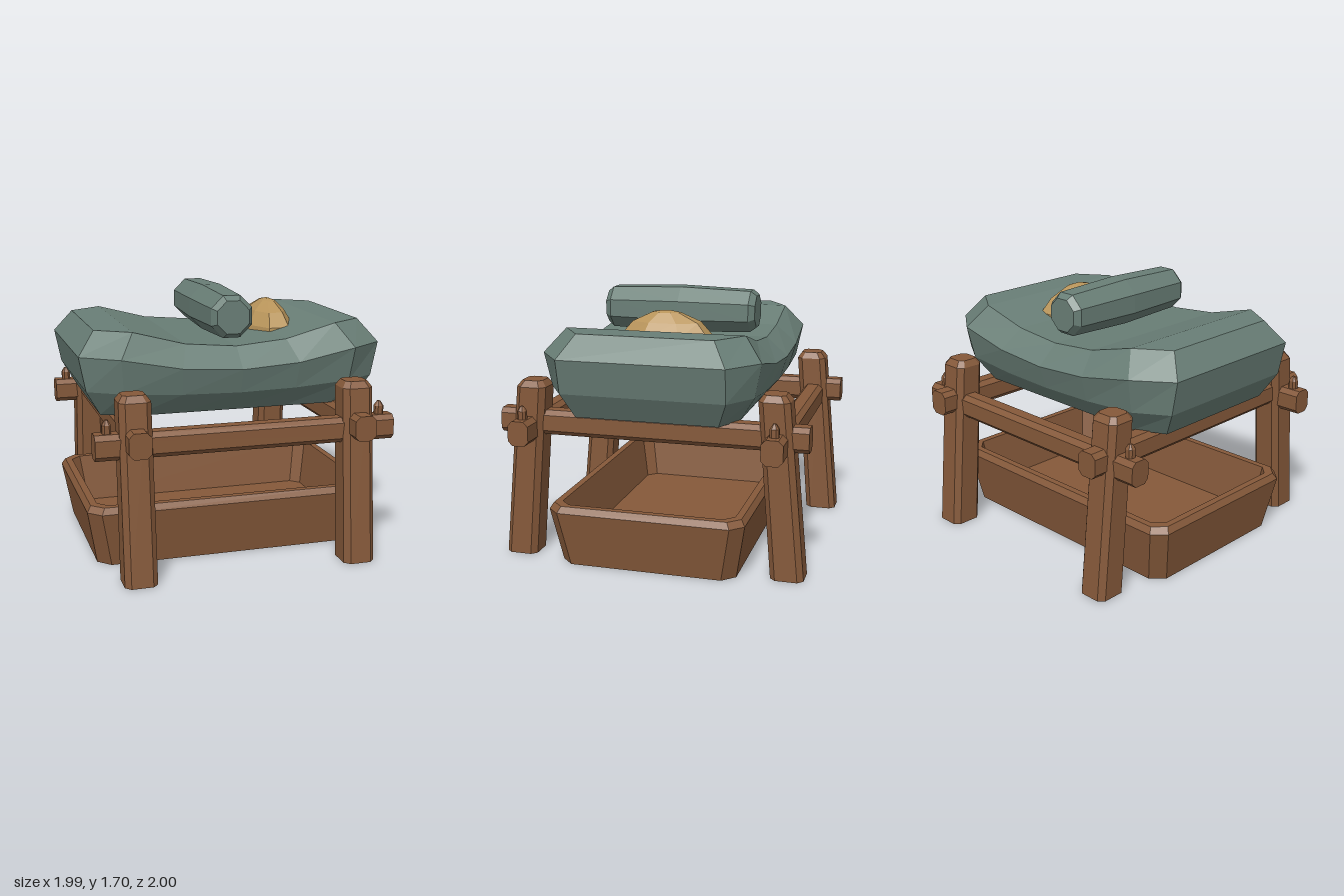
import * as THREE from 'three';

const material = (name, color) => {
  const m = new THREE.MeshStandardMaterial({ color, flatShading: true });
  m.name = name;
  return m;
};

// Rectangle with cut corners at height y, counter-clockwise from above
function ring(y, hx, hz, cx, cz = cx, dx = 0, dz = 0) {
  const ix = hx - cx, iz = hz - cz;
  return [[hx, iz], [hx, -iz], [ix, -hz], [-ix, -hz], [-hx, -iz], [-hx, iz], [-ix, hz], [ix, hz]]
    .map(([x, z]) => [x + dx, y, z + dz]);
}

// Skin a stack of rings and close both ends with strips across z
function loft(rings) {
  const pos = [];
  const quad = (a, b, c, d) => pos.push(...a, ...b, ...c, ...a, ...c, ...d);
  const n = rings[0].length;
  for (let r = 0; r < rings.length - 1; r++) {
    const lo = rings[r], hi = rings[r + 1];
    for (let i = 0; i < n; i++) {
      const j = (i + 1) % n;
      quad(lo[i], lo[j], hi[j], hi[i]);
    }
  }
  const bottom = rings[0], top = rings[rings.length - 1];
  for (let k = 0; k < n / 2 - 1; k++) {
    const a0 = (n - k) % n, b0 = k + 1, a1 = n - k - 1, b1 = k + 2;
    quad(top[a0], top[b0], top[b1], top[a1]);
    quad(bottom[a1], bottom[b1], bottom[b0], bottom[a0]);
  }
  const g = new THREE.BufferGeometry();
  g.setAttribute('position', new THREE.Float32BufferAttribute(pos, 3));
  g.computeVertexNormals();
  return g;
}

// Outline of the grinding slab: long sides sag and bow towards the middle
function slabRing(y, hx, hz, ix, iz, sag, bow) {
  const side = [1, 0.5, 0, -0.5, -1].map((t) => {
    const k = 1 - t * t;
    return [t * ix, y - sag * k, hz + bow * k];
  });
  const back = side.map(([x, h, z]) => [x, h, -z]);
  const front = [...side].reverse();
  return [[hx, y, iz], [hx, y, -iz], ...back, [-hx, y, -iz], [-hx, y, iz], ...front];
}

export function createModel() {
  const model = new THREE.Group();
  const wood = material('wood', 0x85593a);
  const stone = material('stone', 0x697e76);
  const grainColor = material('grain', 0xb8945a);

  const add = (name, geometry, mat, x = 0, y = 0, z = 0) => {
    const mesh = new THREE.Mesh(geometry, mat);
    mesh.name = name;
    mesh.position.set(x, y, z);
    model.add(mesh);
    return mesh;
  };

  // Hollowed grinding slab
  add('grindingSlab', loft([
    slabRing(0.965, 0.855, 0.55, 0.66, 0.46, 0, 0),
    slabRing(1.13, 0.95, 0.655, 0.74, 0.525, 0.03, 0.015),
    slabRing(1.35, 0.993, 0.7, 0.76, 0.53, 0.095, 0.02),
    slabRing(1.497, 0.88, 0.58, 0.665, 0.435, 0.117, 0),
  ]), stone);

  // Hand roller, thickest in the middle
  const rollerRing = ([t, a]) => ring(t, a, a, a * 0.586);
  const roller = add('handRoller', loft(
    [[-0.515, 0.105], [-0.475, 0.135], [0, 0.15], [0.475, 0.135], [0.515, 0.105]].map(rollerRing),
  ), stone, 0, 1.55, 0);
  roller.rotation.x = Math.PI / 2;

  // Heap of grain
  add('grainHeap', loft([
    ring(1.37, 0.155, 0.295, 0.085, 0.17),
    ring(1.43, 0.153, 0.29, 0.085, 0.17),
    ring(1.52, 0.105, 0.215, 0.058, 0.125),
    ring(1.58, 0.045, 0.09, 0.025, 0.05, 0.01),
    ring(1.592, 0.012, 0.03, 0.006, 0.015, 0.012),
  ]), grainColor, 0.39, 0, 0);

  // Collecting tray, hollow inside
  add('tray', loft([
    ring(0, 0.905, 0.575, 0.08),
    ring(0.36, 0.97, 0.638, 0.08),
    ring(0.4, 0.945, 0.613, 0.075),
    ring(0.4, 0.9, 0.568, 0.065),
    ring(0.08, 0.85, 0.515, 0.06),
  ]), wood);

  // Splayed legs, leaning inwards towards the top
  for (const sx of [-1, 1]) for (const sz of [-1, 1]) {
    add('leg', loft([
      ring(0, 0.103, 0.105, 0.035, 0.035, 0, sz * 0.885),
      ring(1.125, 0.1, 0.098, 0.035, 0.035, 0, sz * 0.784),
      ring(1.165, 0.072, 0.068, 0.026, 0.026, 0, sz * 0.782),
    ]), wood, sx * 0.715, 0, 0);

    // Locking pegs through the rail ends
    add('peg', loft([
      ring(0.84, 0.028, 0.028, 0.014),
      ring(0.99, 0.028, 0.028, 0.014),
      ring(1.02, 0.01, 0.01, 0.005),
    ]), wood, sx * 0.883, 0, sz * 0.808);
  }

  // Rails along the sides and across the ends
  for (const s of [-1, 1]) {
    const longRail = add('longRail', loft([
      ring(-0.963, 0.08, 0.068, 0.03), ring(0.963, 0.08, 0.068, 0.03),
    ]), wood, 0, 0.857, s * 0.808);
    longRail.rotation.z = Math.PI / 2;

    const crossRail = add('crossRail', loft([
      ring(-1, 0.07, 0.08, 0.03), ring(1, 0.07, 0.08, 0.03),
    ]), wood, s * 0.715, 0.893, 0);
    crossRail.rotation.x = Math.PI / 2;
  }

  return model;
}
